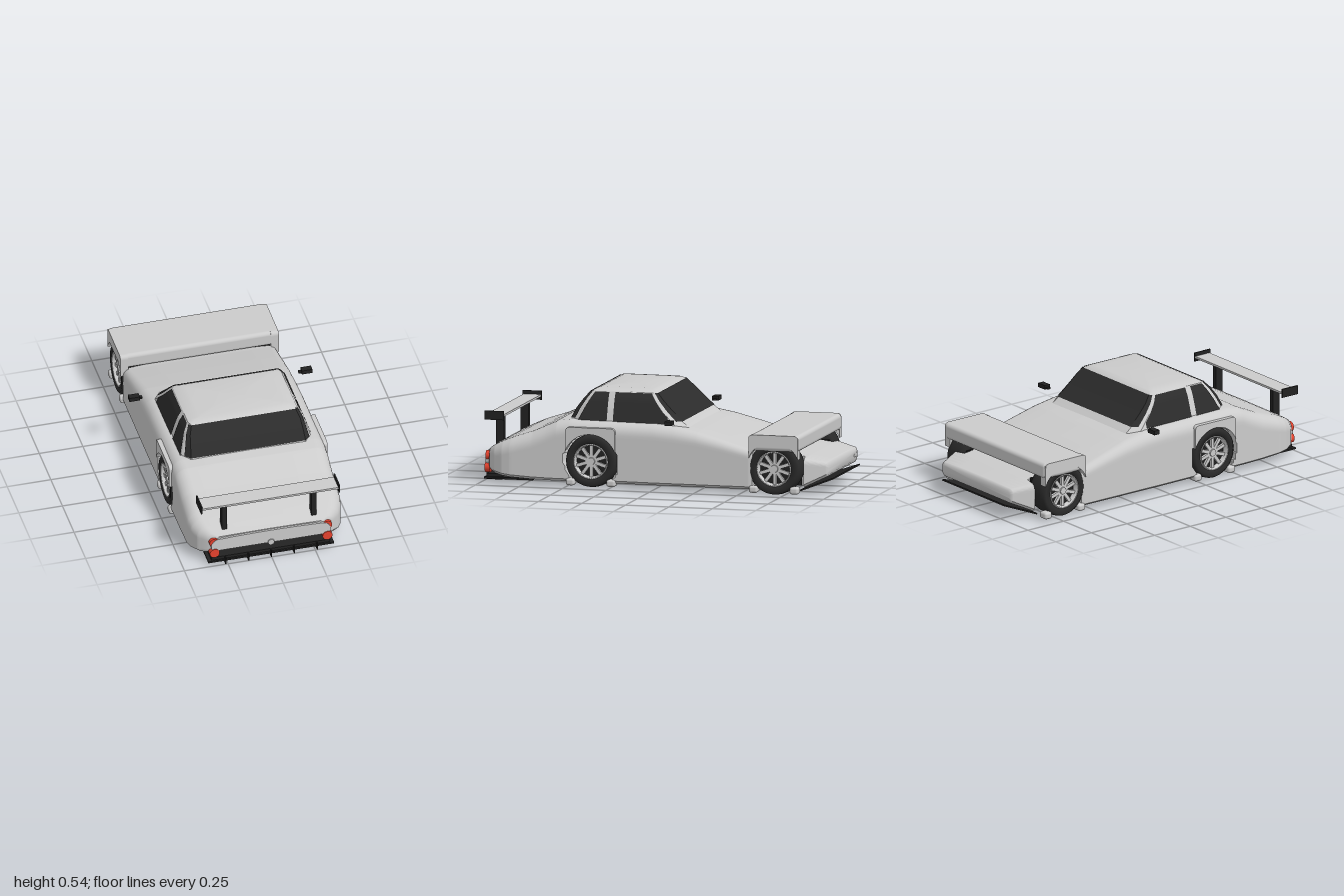
import * as THREE from 'three';
import { toCreasedNormals } from 'three/addons/utils/BufferGeometryUtils.js';
import { RoundedBoxGeometry } from 'three/addons/geometries/RoundedBoxGeometry.js';

const mat = (color, side = THREE.FrontSide) => new THREE.MeshStandardMaterial({ color, side });
const GREY = mat(0xcccccc), DARK = mat(0x222222), RED = mat(0xe8432e);
const GREY2 = mat(0xcccccc, THREE.DoubleSide), GLASS = mat(0x2c2c2c, THREE.DoubleSide);
const TYRE = mat(0x2a2a2a, THREE.DoubleSide);

const WHEELS = [{ z: -0.6975, name: 'nose' }, { z: 0.355, name: 'tail' }];
const WHEEL_Y = 0.152;

// Rows are [key, ...values]; linear lookup of the values at t
function lookup(rows, t) {
  let i = 0;
  while (i < rows.length - 2 && t > rows[i + 1][0]) i++;
  const a = rows[i], b = rows[i + 1];
  const k = THREE.MathUtils.clamp((t - a[0]) / (b[0] - a[0]), 0, 1);
  return a.slice(1).map((v, n) => v + (b[n + 1] - v) * k);
}

function surface(pos, idx) {
  const g = new THREE.BufferGeometry();
  g.setAttribute('position', new THREE.Float32BufferAttribute(pos, 3));
  g.setIndex(idx);
  return g;
}

// Closed skin over rings of points, capped at both ends
function loft(rings, crease) {
  const n = rings[0].length, pos = rings.flat(2), idx = [];
  for (let i = 0; i < rings.length - 1; i++) for (let j = 0; j < n; j++) {
    const k = (j + 1) % n, a = i * n + j, b = i * n + k;
    idx.push(a, b, b + n, a, b + n, a + n);
  }
  [[rings[0], 0, true], [rings[rings.length - 1], (rings.length - 1) * n, false]].forEach(([r, base, flip]) => {
    const c = pos.length / 3;
    pos.push(...[0, 1, 2].map(d => r.reduce((s, p) => s + p[d], 0) / n));
    for (let j = 0; j < n; j++) {
      const a = base + j, b = base + (j + 1) % n;
      idx.push(c, flip ? b : a, flip ? a : b);
    }
  });
  return toCreasedNormals(surface(pos, idx), crease);
}

// z, half width, bottom, top, upper edge radius
const BODY = [
  [-0.975, 0.30, 0.115, 0.170, 0.02], [-0.965, 0.315, 0.10, 0.182, 0.025], [-0.85, 0.365, 0.045, 0.205, 0.03],
  [-0.70, 0.40, 0.035, 0.225, 0.03], [-0.55, 0.44, 0.032, 0.252, 0.04], [-0.40, 0.44, 0.032, 0.295, 0.05],
  [-0.25, 0.44, 0.032, 0.335, 0.06], [-0.12, 0.44, 0.032, 0.36, 0.07], [0, 0.44, 0.032, 0.37, 0.07],
  [0.48, 0.44, 0.035, 0.376, 0.07], [0.56, 0.44, 0.035, 0.365, 0.075], [0.62, 0.44, 0.036, 0.338, 0.08],
  [0.70, 0.44, 0.038, 0.302, 0.08], [0.82, 0.44, 0.045, 0.262, 0.075], [0.87, 0.43, 0.05, 0.242, 0.07],
  [0.92, 0.405, 0.06, 0.218, 0.06], [0.955, 0.365, 0.074, 0.196, 0.04], [0.973, 0.325, 0.088, 0.18, 0.03],
];

function bodyRing(z) {
  const [w, bot, top, r] = lookup(BODY, z), half = [];
  for (let i = 0; i <= 3; i++) half.push([(w - 0.02) * i / 3, bot]);
  for (let i = 0; i <= 14; i++) half.push([w, bot + 0.015 + (top - r - bot - 0.015) * i / 14]);
  for (let i = 1; i <= 6; i++) {
    const a = i / 6 * Math.PI / 2;
    half.push([w - r * (1 - Math.cos(a)), top - r + r * Math.sin(a)]);
  }
  half.push([w * 0.5, top + 0.002], [0, top + 0.003]);
  // sink the skin inward around each wheel
  half.forEach(p => {
    const inNose = z > -0.84 && z < -0.575;
    const inTail = Math.hypot(z - WHEELS[1].z, p[1] - WHEEL_Y) < 0.15;
    if (inNose || inTail) p[0] = Math.min(p[0], 0.285);
  });
  const other = half.slice(1, -1).reverse().map(p => [-p[0], p[1]]);
  return [...half, ...other].map(p => [p[0], p[1], z]);
}

// y, half width, half width at the ends, corner depth, low z, high z
const CABIN = [
  [0.35, 0.378, 0.33, 0.055, -0.18, 0.515], [0.385, 0.367, 0.328, 0.05, -0.135, 0.488],
  [0.44, 0.35, 0.322, 0.045, -0.075, 0.458], [0.49, 0.333, 0.315, 0.035, -0.025, 0.42],
  [0.53, 0.31, 0.298, 0.025, 0.012, 0.385], [0.541, 0.285, 0.275, 0.02, 0.03, 0.365],
  [0.547, 0.24, 0.23, 0.02, 0.05, 0.345],
];

function cabinRing([y, w, v, c, a, b]) {
  return [[v, b], [w, b - c], [w, a + c], [v, a], [-v, a], [-w, a + c], [-w, b - c], [-v, b]].map(([x, z]) => [x, y, z]);
}

// Glass sheet: at(y) returns a row of [x, z] points
function pane(y0, y1, at) {
  const n = 14, pos = [], idx = [];
  for (let i = 0; i <= n; i++) {
    const y = y0 + (y1 - y0) * i / n, row = at(y), m = row.length;
    row.forEach(([x, z]) => pos.push(x, y, z));
    if (i < n) for (let j = 0; j < m - 1; j++) {
      const a = i * m + j;
      idx.push(a, a + 1, a + m + 1, a, a + m + 1, a + m);
    }
  }
  return toCreasedNormals(surface(pos, idx), 0.5);
}

// Upper arch panel over a wheel, thickness along x
function archPanel() {
  const h = 0.142, r = 0.153, top = 0.342, c = 0.025;
  const a = Math.acos(h / r), low = WHEEL_Y + r * Math.sin(a);
  const s = new THREE.Shape();
  s.moveTo(-h, low);
  s.lineTo(-h, top - c);
  s.quadraticCurveTo(-h, top, -h + c, top);
  s.lineTo(h - c, top);
  s.quadraticCurveTo(h, top, h, top - c);
  s.lineTo(h, low);
  s.absarc(0, WHEEL_Y, r, a, Math.PI - a, false);
  const g = new THREE.ExtrudeGeometry(s, { depth: 0.045, bevelEnabled: false, curveSegments: 32 });
  return g.rotateY(Math.PI / 2);
}

export function createModel() {
  const car = new THREE.Group();
  const add = (parent, name, geo, material, x = 0, y = 0, z = 0) => {
    const m = new THREE.Mesh(geo, material);
    m.name = name;
    m.position.set(x, y, z);
    parent.add(m);
    return m;
  };
  const box = (name, w, h, d, material, x, y, z) => add(car, name, new THREE.BoxGeometry(w, h, d), material, x, y, z);

  // Body shell
  const zs = BODY.map(r => r[0]);
  for (let z = -0.96; z < 0.96; z += 0.0125) zs.push(z);
  zs.sort((a, b) => a - b);
  add(car, 'body', loft(zs.map(bodyRing), 0.7), GREY);

  // Cabin and roof
  add(car, 'cabin', loft(CABIN.map(cabinRing), 0.5), GREY);

  // Glass, the end panes wrapping part way round the corners
  const e = 0.006;
  const endPane = (name, s) => add(car, name, pane(0.382, 0.53, y => {
    const [w, v, c, a, b] = lookup(CABIN, y), z = (s > 0 ? b : a) + s * e;
    const x = v + (w - v) * 0.6 + e, zc = z - s * c * 0.6;
    return [[x, zc], [v, z], [-v, z], [-x, zc]];
  }), GLASS);
  endPane('windscreen', -1);
  endPane('rearWindow', 1);
  for (const s of [1, -1]) {
    const sidePane = (name, lo, hi) => add(car, name, pane(0.37, 0.528, y => {
      const [w, , c, a, b] = lookup(CABIN, y), x = s * (w + e);
      return [[x, Math.max(lo, a + c)], [x, Math.min(hi, b - c)]];
    }), GLASS);
    sidePane('doorWindow', -0.07, 0.245);
    sidePane('quarterWindow', 0.28, 0.6);
  }

  // Slab across the nose wheels
  add(car, 'noseFenderSlab', new RoundedBoxGeometry(0.905, 0.09, 0.285, 4, 0.022), GREY, 0, 0.297, -0.7025);

  // Wheels with arches
  const tyreGeo = new THREE.LatheGeometry([[0.095, -0.065], [0.13, -0.07], [0.143, -0.058], [0.147, -0.03], [0.147, 0.03],
    [0.143, 0.058], [0.13, 0.07], [0.098, 0.066], [0.093, 0.03]].map(p => new THREE.Vector2(...p)), 48);
  const rimGeo = new THREE.LatheGeometry([[0.086, 0.035], [0.09, 0.066], [0.099, 0.068], [0.099, 0.03]]
    .map(p => new THREE.Vector2(...p)), 48);
  const archGeo = archPanel();
  const nubGeo = new RoundedBoxGeometry(0.06, 0.04, 0.05, 3, 0.014);
  for (const { z, name } of WHEELS) for (const s of [1, -1]) {
    const wheel = new THREE.Group();
    wheel.name = name + 'Wheel';
    wheel.position.set(s * 0.372, WHEEL_Y, z);
    wheel.rotation.z = -s * Math.PI / 2;
    add(wheel, 'tyre', tyreGeo, TYRE);
    add(wheel, 'rim', rimGeo, GREY2);
    add(wheel, 'wheelBack', new THREE.CylinderGeometry(0.096, 0.096, 0.08, 32), DARK, 0, -0.015, 0);
    add(wheel, 'hub', new THREE.CylinderGeometry(0.02, 0.026, 0.04, 20), GREY, 0, 0.04, 0);
    for (let i = 0; i < 10; i++) {
      const g = new THREE.BoxGeometry(0.075, 0.016, 0.019);
      g.translate(0.053, 0.045, 0).rotateY(i * Math.PI / 5);
      add(wheel, 'spoke', g, GREY);
    }
    car.add(wheel);
    add(car, name + 'Arch', archGeo, GREY, s > 0 ? 0.409 : -0.454, 0, z);
    for (const d of [1, -1]) add(car, name + 'ArchFoot', nubGeo, GREY, s * 0.423, 0.035, z + d * 0.117);
    box(name + 'WheelWell', 0.012, 0.17, 0.24, DARK, s * 0.288, 0.13, z);
  }

  // Tail wing
  box('wingBlade', 0.79, 0.012, 0.1, GREY, 0, 0.381, 0.918);
  for (const s of [1, -1]) {
    box('wingEndPlate', 0.008, 0.05, 0.11, DARK, s * 0.394, 0.382, 0.92);
    box('wingStrut', 0.028, 0.18, 0.045, DARK, s * 0.256, 0.286, 0.922);
  }

  // Tail bar with rounded ends
  const bar = new THREE.Shape();
  bar.moveTo(-0.32, 0.095);
  bar.lineTo(0.32, 0.095);
  bar.quadraticCurveTo(0.345, 0.102, 0.342, 0.135);
  bar.quadraticCurveTo(0.33, 0.168, 0.3, 0.171);
  bar.quadraticCurveTo(0, 0.185, -0.3, 0.171);
  bar.quadraticCurveTo(-0.33, 0.168, -0.342, 0.135);
  bar.quadraticCurveTo(-0.345, 0.102, -0.32, 0.095);
  add(car, 'tailBar', new THREE.ExtrudeGeometry(bar, { depth: 0.03, bevelEnabled: false }), GREY, 0, 0, 0.955);

  // Tail lights and round cap
  const lampGeo = new THREE.CylinderGeometry(0.028, 0.028, 0.03, 28).rotateX(Math.PI / 2);
  for (const s of [1, -1]) {
    add(car, 'upperTailLight', lampGeo, RED, s * 0.323, 0.148, 0.968);
    add(car, 'lowerTailLight', lampGeo, RED, s * 0.323, 0.081, 0.974);
  }
  add(car, 'roundCap', new THREE.CylinderGeometry(0.018, 0.018, 0.012, 24).rotateX(Math.PI / 2), GREY, 0, 0.1, 0.986);

  // Tail diffuser
  box('diffuserFloor', 0.72, 0.01, 0.28, DARK, 0, 0.026, 0.85);
  box('diffuserBlock', 0.68, 0.028, 0.09, DARK, 0, 0.034, 0.935);
  for (let i = -2; i <= 2; i++) box('diffuserFin', 0.006, 0.042, 0.09, DARK, i * 0.131, 0.025, 0.955);

  // Nose splitter, rising toward the tip
  const plate = new THREE.Shape([[-0.36, 0], [0.36, 0], [0.28, 0.178], [-0.28, 0.178]].map(p => new THREE.Vector2(...p)));
  const splitter = add(car, 'noseSplitter',
    new THREE.ExtrudeGeometry(plate, { depth: 0.008, bevelEnabled: false }), DARK, 0, 0.022, -0.828);
  splitter.rotation.x = -Math.PI / 2 + 0.35;

  // Door mirrors
  for (const s of [1, -1]) {
    box('mirror', 0.06, 0.024, 0.036, DARK, s * 0.494, 0.394, -0.112);
    box('mirrorStub', 0.018, 0.01, 0.02, DARK, s * 0.457, 0.39, -0.112);
  }
  return car;
}
